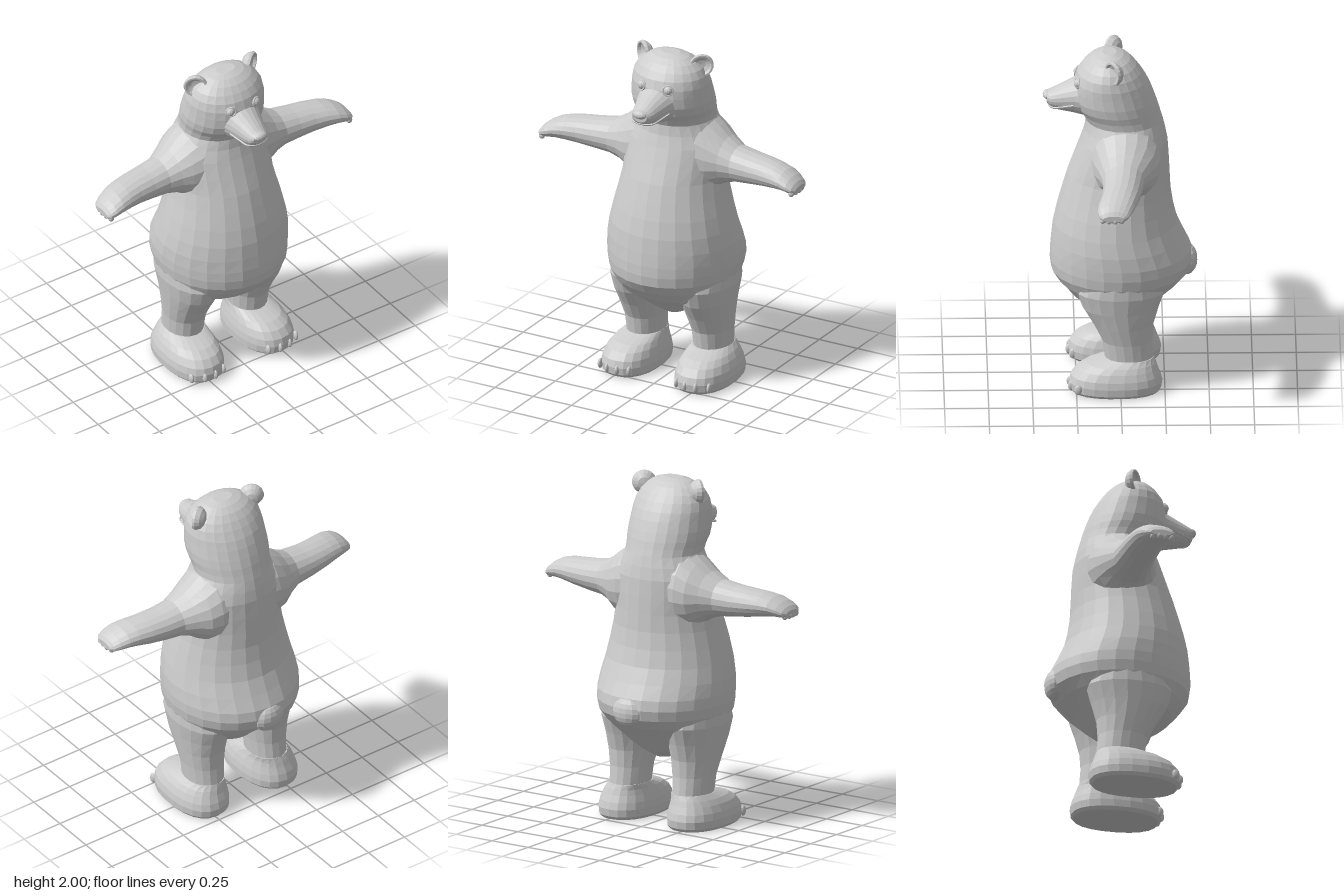
import * as THREE from 'three';

const fur = new THREE.MeshStandardMaterial({ color: 0xcccccc, flatShading: true });
fur.name = 'lightGrey';

function add(group, name, geo, pos = [0, 0, 0], scale = [1, 1, 1], rot = [0, 0, 0]) {
  const m = new THREE.Mesh(geo, fur);
  m.name = name;
  m.position.set(...pos);
  m.scale.set(...scale);
  m.rotation.set(...rot);
  group.add(m);
  return m;
}

// Skin of oval rings along an axis (0 x, 1 y, 2 z).
// Ring: [position, uMin, uMax, vMin, vMax], u and v being the next axes in x-y-z order.
function loft(axis, rings, seg = 20, power = 2) {
  const sorted = [...rings].sort((a, b) => a[0] - b[0]);
  const pos = [], index = [];
  const put = (t, u, v) => {
    const p = [0, 0, 0];
    p[axis] = t; p[(axis + 1) % 3] = u; p[(axis + 2) % 3] = v;
    pos.push(...p);
  };
  const bend = (c) => Math.sign(c) * Math.abs(c) ** (2 / power);
  for (const [t, u0, u1, v0, v1] of sorted) {
    for (let k = 0; k < seg; k++) {
      const a = (k / seg) * Math.PI * 2;
      put(t, (u0 + u1) / 2 + (u1 - u0) / 2 * bend(Math.cos(a)),
        (v0 + v1) / 2 + (v1 - v0) / 2 * bend(Math.sin(a)));
    }
  }
  const n = sorted.length;
  for (let j = 0; j < n - 1; j++) {
    for (let k = 0; k < seg; k++) {
      const a = j * seg + k, b = j * seg + (k + 1) % seg;
      index.push(a, b, b + seg, a, b + seg, a + seg);
    }
  }
  // End caps
  for (const j of [0, n - 1]) {
    const [t, u0, u1, v0, v1] = sorted[j], c = pos.length / 3;
    put(t, (u0 + u1) / 2, (v0 + v1) / 2);
    for (let k = 0; k < seg; k++) {
      const a = j * seg + k, b = j * seg + (k + 1) % seg;
      if (j) index.push(c, a, b); else index.push(c, b, a);
    }
  }
  const geo = new THREE.BufferGeometry();
  geo.setAttribute('position', new THREE.Float32BufferAttribute(pos, 3));
  geo.setIndex(index);
  geo.computeVertexNormals();
  return geo;
}

export function createModel() {
  const bear = new THREE.Group();
  bear.name = 'bear';
  const ball = new THREE.SphereGeometry(1, 14, 10);

  // Torso: y, half width, back z, front z
  const torso = [
    [0.375, 0.06, -0.08, 0.07], [0.42, 0.15, -0.15, 0.14], [0.47, 0.24, -0.2, 0.2],
    [0.53, 0.32, -0.26, 0.285], [0.6, 0.355, -0.345, 0.35], [0.66, 0.378, -0.4, 0.39],
    [0.72, 0.388, -0.415, 0.398], [0.78, 0.39, -0.405, 0.397], [0.86, 0.385, -0.365, 0.39],
    [0.95, 0.368, -0.325, 0.38], [1.05, 0.345, -0.3, 0.358], [1.15, 0.32, -0.285, 0.33],
    [1.25, 0.3, -0.28, 0.3], [1.35, 0.3, -0.275, 0.262], [1.45, 0.295, -0.268, 0.225],
    [1.52, 0.26, -0.255, 0.203], [1.58, 0.226, -0.24, 0.195],
  ];
  // Head continues the neck upward
  const head = [
    [1.58, 0.226, -0.24, 0.195], [1.62, 0.228, -0.228, 0.215], [1.66, 0.236, -0.217, 0.245],
    [1.71, 0.238, -0.2, 0.262], [1.77, 0.233, -0.177, 0.265], [1.82, 0.23, -0.153, 0.26],
    [1.87, 0.218, -0.122, 0.242], [1.91, 0.196, -0.092, 0.214], [1.945, 0.16, -0.058, 0.18],
    [1.97, 0.115, -0.02, 0.142], [1.985, 0.06, 0.02, 0.1],
  ];
  const oval = ([y, w, b, f]) => [y, b, f, -w, w];
  add(bear, 'torso', loft(1, torso.map(oval), 24));
  add(bear, 'head', loft(1, head.map(oval), 24));
  add(bear, 'tail', ball, [0, 0.7, -0.375], [0.1, 0.09, 0.063]);

  // Muzzle: z, half width, bottom y, top y
  const muzzle = [
    [0.14, 0.155, 1.6, 1.86], [0.21, 0.13, 1.605, 1.845], [0.26, 0.108, 1.617, 1.82],
    [0.32, 0.087, 1.628, 1.79], [0.365, 0.074, 1.637, 1.768], [0.395, 0.062, 1.653, 1.752],
    [0.415, 0.048, 1.677, 1.745],
  ];
  add(bear, 'muzzle', loft(2, muzzle.map(([z, w, b, t]) => [z, -w, w, b, t]), 20));
  add(bear, 'nose', ball, [0, 1.722, 0.41], [0.045, 0.025, 0.028]);
  const mouth = new THREE.CatmullRomCurve3([
    [-0.108, 1.695, 0.265], [-0.084, 1.676, 0.33], [-0.063, 1.665, 0.382], [0, 1.663, 0.403],
    [0.063, 1.665, 0.382], [0.084, 1.676, 0.33], [0.108, 1.695, 0.265],
  ].map((p) => new THREE.Vector3(...p)));
  add(bear, 'mouth', new THREE.TubeGeometry(mouth, 24, 0.006, 5));

  // Ear bowl, open to the front
  const earGeo = new THREE.LatheGeometry([
    [0, -0.045], [0.035, -0.038], [0.058, -0.02], [0.07, 0.005], [0.066, 0.02],
    [0.056, 0.02], [0.048, 0.004], [0.025, -0.008], [0, -0.01],
  ].map((p) => new THREE.Vector2(...p)), 18).rotateX(Math.PI / 2);
  const lidGeo = new THREE.TorusGeometry(0.028, 0.006, 6, 14);

  // Leg and foot: y, back z, front z, inner x, outer x
  const leg = [
    [0.2, -0.188, 0.09, 0.108, 0.328], [0.3, -0.18, 0.105, 0.1, 0.335],
    [0.4, -0.187, 0.155, 0.085, 0.35], [0.5, -0.215, 0.215, 0.07, 0.364],
    [0.6, -0.25, 0.25, 0.06, 0.378], [0.7, -0.22, 0.21, 0.09, 0.375],
  ];
  const foot = [
    [0, -0.215, 0.27, 0.092, 0.385], [0.018, -0.23, 0.288, 0.076, 0.4],
    [0.06, -0.236, 0.293, 0.075, 0.402], [0.1, -0.226, 0.282, 0.08, 0.395],
    [0.14, -0.21, 0.248, 0.09, 0.378], [0.17, -0.2, 0.195, 0.1, 0.358],
    [0.2, -0.188, 0.09, 0.108, 0.328],
  ];
  // Arm: x, bottom y, top y, back z, front z
  const arm = [
    [0.1, 1.15, 1.62, -0.23, 0.17], [0.2, 1.15, 1.597, -0.23, 0.17],
    [0.265, 1.175, 1.548, -0.212, 0.15], [0.33, 1.222, 1.495, -0.172, 0.125],
    [0.4, 1.245, 1.456, -0.133, 0.105], [0.5, 1.255, 1.44, -0.12, 0.103],
    [0.6, 1.268, 1.43, -0.106, 0.11], [0.68, 1.28, 1.42, -0.09, 0.124],
    [0.74, 1.287, 1.405, -0.075, 0.135], [0.79, 1.285, 1.38, -0.055, 0.138],
    [0.822, 1.285, 1.355, -0.037, 0.13], [0.838, 1.297, 1.333, -0.012, 0.108],
  ];

  for (const s of [1, -1]) {
    const side = s > 0 ? 'left' : 'right';
    const mirrorX = ([y, b, f, i, o]) => [y, b, f, Math.min(s * i, s * o), Math.max(s * i, s * o)];
    add(bear, side + 'Leg', loft(1, leg.map(mirrorX), 18));
    add(bear, side + 'Foot', loft(1, foot.map(mirrorX), 22, 2.3));
    add(bear, side + 'Arm', loft(0, arm.map(([x, ...r]) => [s * x, ...r]), 18));

    // Face details
    add(bear, side + 'Ear', earGeo, [s * 0.185, 1.928, 0.035], [1, 1, 1], [0, s * 0.62, 0]);
    add(bear, side + 'Eye', ball, [s * 0.085, 1.825, 0.238], [0.027, 0.027, 0.024]);
    add(bear, side + 'Eyelid', lidGeo, [s * 0.085, 1.825, 0.243], [1, 1, 1], [-0.15, s * 0.4, 0]);

    // Claws on toes and fingers
    for (let i = 0; i < 4; i++) {
      const x = 0.155 + i * 0.067, off = (x - 0.2385) / 0.163;
      add(bear, side + 'ToeClaw', ball,
        [s * x, 0.045, 0.03 + 0.255 * Math.sqrt(1 - off * off * 0.6)], [0.013, 0.03, 0.022]);
      add(bear, side + 'FingerClaw', ball,
        [s * (0.825 - Math.abs(i - 1.3) * 0.006), 1.3, 0.002 + i * 0.036], [0.018, 0.02, 0.016]);
    }
  }
  return bear;
}
